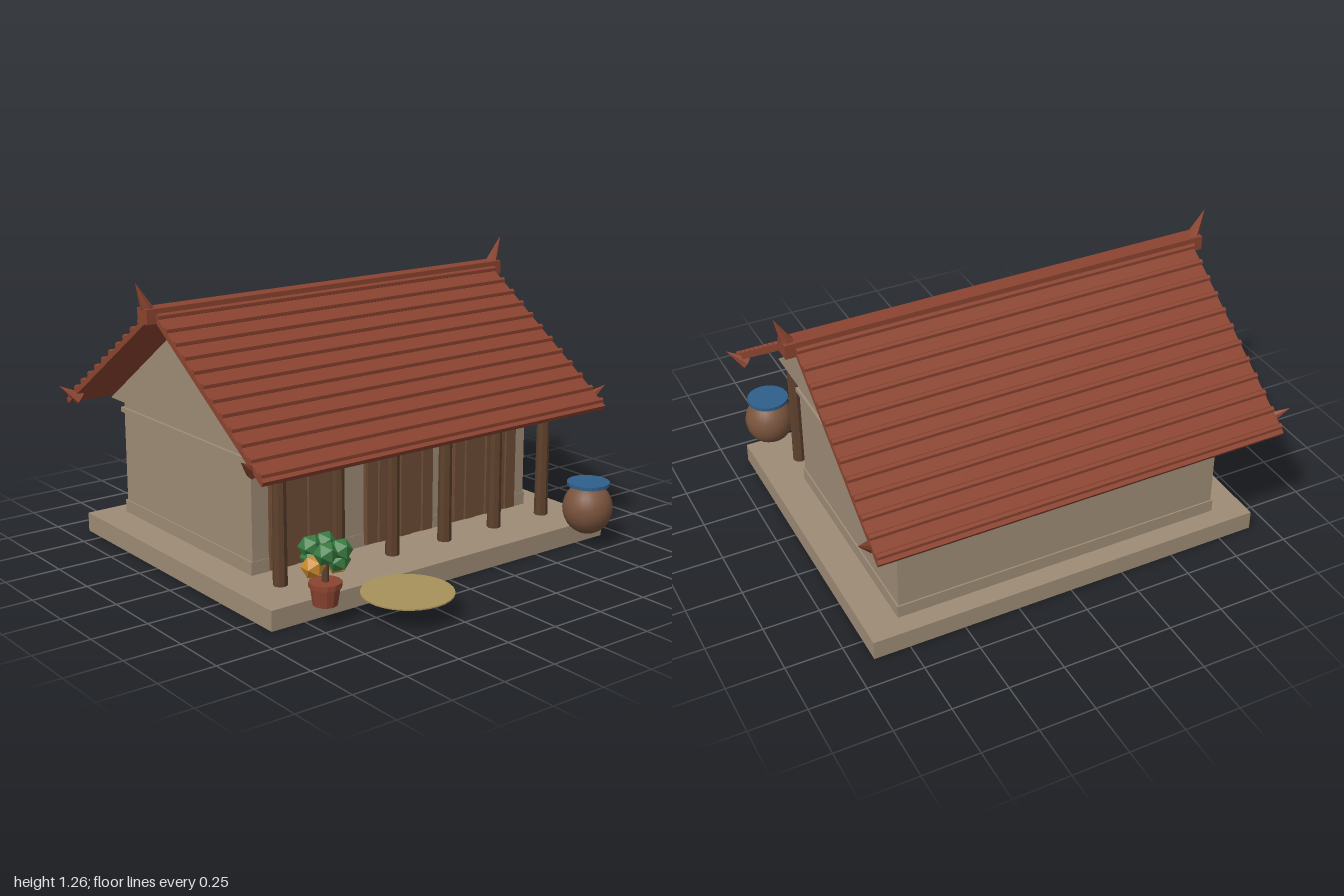
import * as THREE from 'three';

const mat = (name, color, flat = true) => {
  const m = new THREE.MeshStandardMaterial({ color, flatShading: flat });
  m.name = name;
  return m;
};

export function createModel() {
  const M = {
    stone: mat('plaster', 0x9e8c76),
    tile: mat('roof tile', 0x8c4430),
    post: mat('dark wood', 0x5e412d),
    door: mat('door wood', 0x6e4c36),
    jar: mat('glazed clay', 0x7a543d, false),
    lid: mat('blue lid', 0x2f5f8a),
    leaf: mat('leaf green', 0x3a7c42),
    bloom: mat('orange blossom', 0xc98a2c),
    straw: mat('woven straw', 0xa8925a),
  };
  const model = new THREE.Group();
  model.name = 'house';

  const add = (name, geo, material, x = 0, y = 0, z = 0, parent = model) => {
    const mesh = new THREE.Mesh(geo, material);
    mesh.name = name;
    mesh.position.set(x, y, z);
    parent.add(mesh);
    return mesh;
  };
  // Box given by its limits on each axis
  const box = (name, material, x0, x1, y0, y1, z0, z1, parent) =>
    add(name, new THREE.BoxGeometry(x1 - x0, y1 - y0, z1 - z0), material,
      (x0 + x1) / 2, (y0 + y1) / 2, (z0 + z1) / 2, parent);
  // Pointed horn from a base point to a tip
  const horn = (name, base, tip, radius) => {
    const a = new THREE.Vector3(...base), b = new THREE.Vector3(...tip);
    const dir = b.clone().sub(a), len = dir.length();
    const geo = new THREE.ConeGeometry(radius, len, 6);
    geo.translate(0, len / 2, 0);
    const h = add(name, geo, M.tile, ...base);
    h.quaternion.setFromUnitVectors(new THREE.Vector3(0, 1, 0), dir.normalize());
  };

  // Platform and walls
  box('platform', M.stone, -0.91, 0.91, 0, 0.087, -0.865, 0.615);
  box('walls', M.stone, -0.755, 0.755, 0.087, 0.612, -0.768, 0.255);
  box('wallPlinth', M.stone, -0.762, 0.762, 0.087, 0.145, -0.775, 0.258);
  box('cornice', M.stone, -0.767, 0.767, 0.563, 0.585, -0.78, 0.267);

  // Gable prism running the length of the house
  const tri = new THREE.Shape();
  tri.moveTo(-0.48, 0.61);
  tri.lineTo(0.87, 0.61);
  tri.lineTo(0.2, 1.08);
  tri.closePath();
  const gable = new THREE.ExtrudeGeometry(tri, { depth: 1.53, bevelEnabled: false });
  gable.translate(0, 0, -0.765);
  gable.rotateY(Math.PI / 2);
  add('gable', gable, M.stone);

  // Two roof slopes, each a sheet with rows of tile ribs
  const slope = Math.atan2(0.535, 0.79), length = 0.954;
  for (const side of [1, -1]) {
    const pitch = new THREE.Group();
    pitch.name = side > 0 ? 'frontRoof' : 'backRoof';
    pitch.position.set(0, 1.13, -0.2);
    if (side < 0) pitch.rotation.y = Math.PI;
    const sheet = new THREE.Group();
    sheet.name = 'roofSlope';
    sheet.rotation.x = slope;
    pitch.add(sheet);
    box('roofSheet', M.tile, -0.925, 0.925, -0.012, 0.012, 0, length, sheet);
    for (let i = 0; i < 12; i++) {
      const rib = add('tileRib', new THREE.CylinderGeometry(0.014, 0.014, 1.85, 6), M.tile,
        0, 0.016, 0.04 + i * 0.0802, sheet);
      rib.rotation.z = Math.PI / 2;
    }
    model.add(pitch);
  }
  box('ridgeBeam', M.tile, -0.97, 0.97, 1.092, 1.155, -0.238, -0.162);

  // Horns at the ridge ends and at the four eave corners
  for (const s of [1, -1]) {
    horn('ridgeHorn', [s * 0.935, 1.125, -0.2], [s * 0.997, 1.265, -0.2], 0.034);
    horn('eaveHorn', [s * 0.905, 0.62, 0.5], [s * 0.985, 0.682, 0.535], 0.03);
    horn('eaveHorn', [s * 0.905, 0.62, -0.9], [s * 0.985, 0.682, -0.945], 0.03);
  }

  // Veranda posts
  for (let i = 0; i < 6; i++) {
    const x = -0.725 + i * 0.29;
    add('post', new THREE.CylinderGeometry(0.028, 0.031, 0.56, 8), M.post, x, 0.367, 0.41);
  }

  // Three plank doors with staggered boards
  for (const x of [-0.493, 0, 0.493]) {
    const door = new THREE.Group();
    door.name = 'door';
    door.position.x = x;
    box('doorPanel', M.door, -0.181, 0.181, 0.095, 0.488, 0.25, 0.272, door);
    for (let i = 0; i < 6; i++) {
      const px = -0.151 + i * 0.0604;
      box('plank', M.door, px - 0.028, px + 0.028, 0.1, 0.482, 0.27, i % 2 ? 0.288 : 0.281, door);
    }
    model.add(door);
  }

  // Water jar with its lid
  const jar = add('jar', new THREE.SphereGeometry(0.112, 24, 16), M.jar, 0.775, 0.173, 0.655);
  jar.scale.y = 1.06;
  add('jarLid', new THREE.CylinderGeometry(0.095, 0.095, 0.016, 20), M.lid, 0.775, 0.286, 0.655);

  // Round drying mat
  add('mat', new THREE.CylinderGeometry(0.19, 0.19, 0.006, 32), M.straw, -0.38, 0.096, 0.8);

  // Flower pot with foliage
  const plant = new THREE.Group();
  plant.name = 'pottedPlant';
  plant.position.set(-0.705, 0, 0.69);
  model.add(plant);
  add('flowerPot', new THREE.CylinderGeometry(0.062, 0.05, 0.08, 12), M.tile, 0, 0.129, 0, plant);
  add('potRim', new THREE.CylinderGeometry(0.067, 0.067, 0.022, 12), M.tile, 0, 0.174, 0, plant);
  add('stem', new THREE.CylinderGeometry(0.015, 0.015, 0.12, 6), M.post, 0, 0.23, 0, plant);
  const clump = (name, r, m, x, y, z) => add(name, new THREE.IcosahedronGeometry(r, 0), m, x, y, z, plant);
  for (const s of [1, -1]) {
    for (const t of [1, -1]) clump('leaves', 0.05, M.leaf, s * 0.035, 0.322, t * 0.052);
    clump('leaves', 0.05, M.leaf, s * 0.03, 0.28, s * 0.045);
    clump('blossom', 0.05, M.bloom, s * 0.053, 0.255, s * 0.008);
  }
  return model;
}
